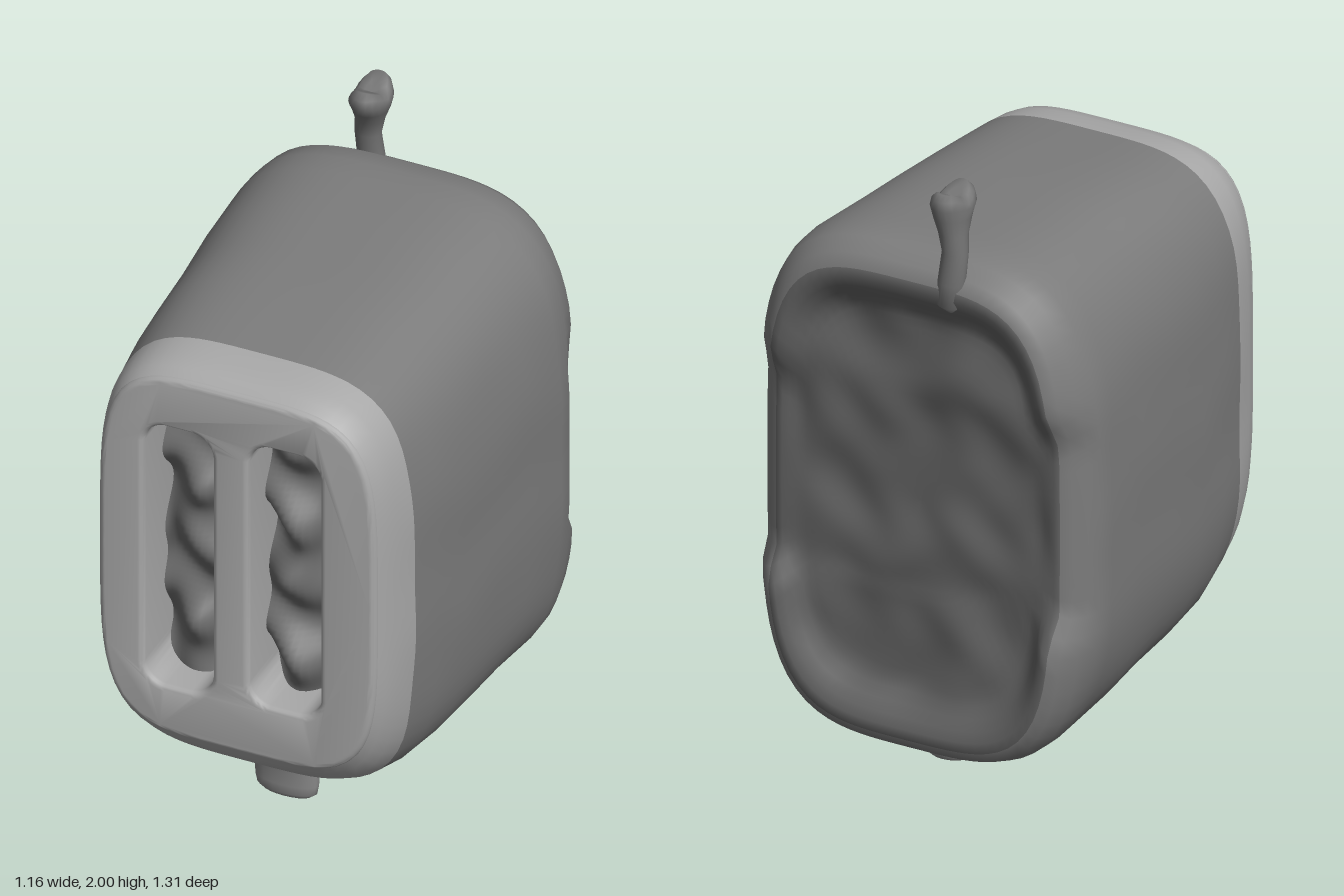
import * as THREE from 'three';
import { toCreasedNormals } from 'three/addons/utils/BufferGeometryUtils.js';

const SEG = 96;
const paint = (color) => new THREE.MeshStandardMaterial({ color });
const casingGrey = paint(0x7c7c7c);
const frontGrey = paint(0xa8a8a8);
const backGrey = paint(0x646464);
const fillingGrey = paint(0x6c6c6c);
const leverGrey = paint(0x747474);
const footGrey = paint(0x8c8c8c);

// smooth lumps, about -1 to 1
const lumps = (x, y, f) =>
  (Math.sin(f * x + 1.3 * Math.sin(f * 0.6 * y)) + Math.sin(f * 1.1 * y + 2 + Math.sin(f * 0.8 * x))) / 2;

const smooth = THREE.MathUtils.smoothstep;

// skin over closed rings of points
function loft(rings) {
  const n = rings[0].length, pos = [], index = [];
  for (const ring of rings) for (const p of ring) pos.push(p.x, p.y, p.z);
  for (let i = 0; i < rings.length - 1; i++) {
    for (let j = 0; j < n; j++) {
      const k = (j + 1) % n, a = i * n + j, b = i * n + k;
      index.push(a, b, b + n, a, b + n, a + n);
    }
  }
  const g = new THREE.BufferGeometry();
  g.setAttribute('position', new THREE.Float32BufferAttribute(pos, 3));
  g.setIndex(index);
  g.computeVertexNormals();
  return g;
}

// the bands of a loft between two rings, keeping its normals
function bands(geometry, from, to) {
  const g = geometry.clone();
  g.setIndex(Array.from(geometry.index.array).slice(from * SEG * 6, to * SEG * 6));
  return g;
}

// rounded-box section in the xy plane
function bodyRing(z, halfW, bottom, top, power, scale = 1) {
  const cy = (bottom + top) / 2, h = (top - bottom) / 2, ring = [];
  for (let j = 0; j < SEG; j++) {
    const t = (j / SEG) * Math.PI * 2, c = Math.cos(t), s = Math.sin(t);
    const r = scale * Math.pow(Math.abs(c) ** power + Math.abs(s) ** power, -1 / power);
    ring.push(new THREE.Vector3(halfW * c * r, cy + h * s * r, z));
  }
  return ring;
}

// upright stalk from rows of [x, y, z, radius x, radius z]
function stalk(rows) {
  return loft(rows.map(([x, y, z, rx, rz]) => Array.from({ length: 20 }, (_, j) => {
    const t = (j / 20) * Math.PI * 2;
    return new THREE.Vector3(x + rx * Math.cos(t), y, z - rz * Math.sin(t));
  })));
}

export function createModel() {
  const group = new THREE.Group();
  const add = (name, geometry, material) => {
    const mesh = new THREE.Mesh(geometry, material);
    mesh.name = name;
    group.add(mesh);
    return mesh;
  };

  // casing: z, half width, bottom, top, squareness
  const sections = [
    [-0.625, 0.49, 0.15, 1.68, 3.8],
    [-0.60, 0.52, 0.115, 1.72, 3.7],
    [-0.55, 0.555, 0.10, 1.755, 3.6],
    [-0.48, 0.575, 0.10, 1.765, 3.5],
    [-0.40, 0.58, 0.11, 1.765, 3.5],
    [-0.20, 0.568, 0.125, 1.755, 3.5],
    [0, 0.555, 0.14, 1.745, 3.5],
    [0.20, 0.54, 0.155, 1.735, 3.6],
    [0.35, 0.525, 0.18, 1.72, 3.7],
    [0.48, 0.505, 0.225, 1.71, 3.8],
    [0.56, 0.488, 0.275, 1.70, 4],
    [0.61, 0.47, 0.325, 1.685, 4.2],
    [0.635, 0.455, 0.365, 1.665, 4.3],
  ];
  const rings = sections.map((s) => bodyRing(...s));

  // rough back, hollowed near the top and bottom, closing to the middle
  const BACK = 24, rim = sections[0];
  const middle = (y) => smooth(y, 0.56, 0.66) * (1 - smooth(y, 1.2, 1.36));
  for (let k = 1; k <= BACK; k++) {
    const s = 1 - k / BACK;
    const ring = bodyRing(rim[0], rim[1], rim[2], rim[3], 3.8, s);
    for (const p of ring) {
      const inside = smooth(1 - s, 0.03, 0.2);
      p.z += inside * (0.065 * (1 - 0.8 * middle(p.y)) + 0.014 * lumps(p.x, p.y, 11) + 0.008 * lumps(p.y, p.x, 23));
    }
    rings.unshift(ring);
  }
  // the back edge steps inward at mid height
  for (const ring of rings) for (const p of ring) {
    p.z += 0.06 * middle(p.y) * (1 - smooth(p.z, -0.61, -0.42));
    if (p.z > -0.5 && p.z < 0.5) p.x += 0.004 * lumps(p.z, p.y, 14);
  }
  const body = loft(rings), last = rings.length - 1;
  add('back', bands(body, 0, BACK), backGrey);
  add('casing', bands(body, BACK, last - 3), casingGrey);
  add('frontEdge', bands(body, last - 3, last), frontGrey);

  // front panel with two long slots
  const slots = [
    { x: -0.195, y: 1.01, w: 0.225, h: 0.94 },
    { x: 0.155, y: 1.03, w: 0.235, h: 0.94 },
  ];
  const panel = new THREE.Shape(bodyRing(0, 0.455, 0.365, 1.665, 4.3).map((p) => new THREE.Vector2(p.x, p.y)));
  for (const { x, y, w, h } of slots) {
    const pts = [];
    for (let j = 0; j < 48; j++) {
      const t = (-(j + 0.5) / 48) * Math.PI * 2, c = Math.cos(t), s = Math.sin(t);
      const r = 0.075, ex = w / 2 - r, ey = h / 2 - r;
      pts.push(new THREE.Vector2(x + Math.sign(c) * ex + r * c, y + Math.sign(s) * ey + r * s));
    }
    panel.holes.push(new THREE.Path(pts));
  }
  const panelGeometry = new THREE.ExtrudeGeometry(panel, {
    depth: 0.22, bevelThickness: 0.02, bevelSize: 0.02, bevelOffset: -0.02, bevelSegments: 4,
  });
  add('frontPanel', toCreasedNormals(panelGeometry, 0.7), frontGrey).position.z = 0.415;

  // lumpy filling at the bottom of each slot
  slots.forEach(({ x, y, w, h }, i) => {
    const g = new THREE.PlaneGeometry(w + 0.06, h + 0.06, 16, 60);
    const p = g.attributes.position;
    for (let k = 0; k < p.count; k++) {
      const px = p.getX(k), py = p.getY(k);
      p.setZ(k, 0.05 * lumps(px + i * 0.4, py + i * 0.3, 23) + 0.025 * Math.cos(px * 25));
    }
    g.computeVertexNormals();
    add(i ? 'leftSlotFilling' : 'rightSlotFilling', g, fillingGrey).position.set(x, y, 0.51);
  });

  // lever: thin stem flaring into a knob with a notch across its top
  const lever = stalk([
    [-0.13, 1.58, -0.58, 0, 0],
    [-0.13, 1.62, -0.598, 0.04, 0.03],
    [-0.138, 1.70, -0.602, 0.045, 0.034],
    [-0.145, 1.80, -0.592, 0.042, 0.036],
    [-0.135, 1.86, -0.585, 0.046, 0.047],
    [-0.125, 1.91, -0.572, 0.057, 0.068],
    [-0.122, 1.95, -0.564, 0.064, 0.088],
    [-0.122, 1.98, -0.566, 0.056, 0.084],
    [-0.122, 2.0, -0.568, 0.042, 0.066],
    [-0.122, 2.0, -0.565, 0.022, 0.035],
    [-0.122, 2.0, -0.563, 0, 0],
  ]);
  const lp = lever.attributes.position;
  for (let k = 0; k < lp.count; k++) {
    const fromNotch = Math.abs(lp.getZ(k) + 0.563) / 0.06;
    lp.setY(k, lp.getY(k) - 0.035 * smooth(lp.getY(k), 1.93, 2) * Math.max(0, 1 - fromNotch));
  }
  lever.computeVertexNormals();
  add('lever', lever, leverGrey);

  // two feet along the centre line
  const foot = (name, z, rx, rz, top) => add(name, stalk([
    [0, 0, z, 0, 0],
    [0, 0.002, z, rx * 0.75, rz * 0.65],
    [0, 0.018, z, rx * 0.94, rz * 0.88],
    [0, 0.05, z, rx, rz],
    [0, 0.10, z, rx * 1.02, rz * 1.06],
    [0, 0.14, z, rx * 1.06, rz * 1.35],
    [0, top, z, rx * 1.15, rz * 1.8],
  ]), footGrey);
  foot('frontFoot', 0.295, 0.104, 0.043, 0.19);
  foot('backFoot', -0.375, 0.085, 0.07, 0.13);

  return group;
}
